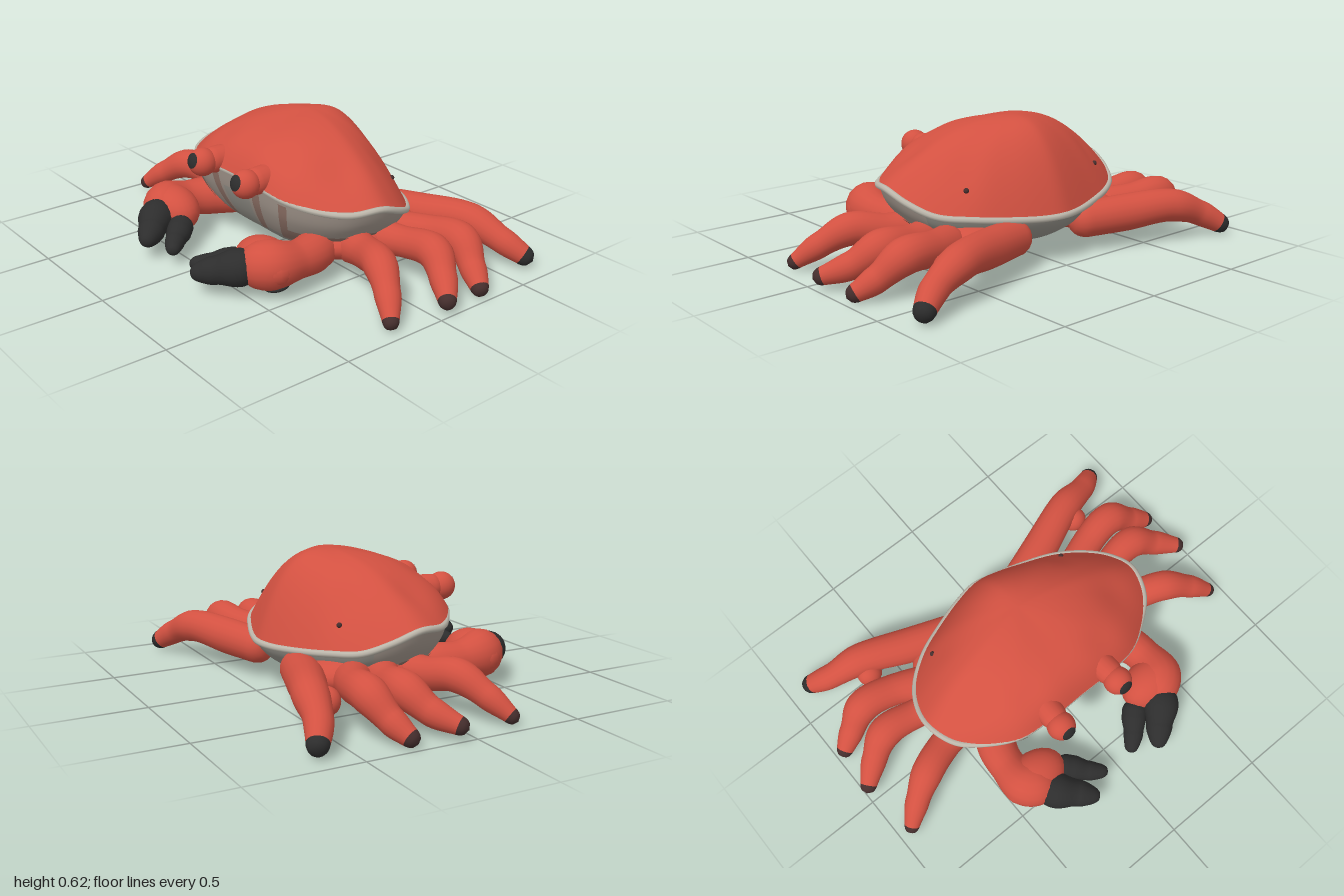
import * as THREE from 'three';
import { mergeVertices } from 'three/addons/utils/BufferGeometryUtils.js';
import { ParametricGeometry } from 'three/addons/geometries/ParametricGeometry.js';

const V = (x, y, z) => new THREE.Vector3(x, y, z);

function material(name, color) {
  const m = new THREE.MeshStandardMaterial({ color });
  m.name = name;
  return m;
}

// Weld the seams and recompute normals so the surface is smooth all round
function smooth(geometry) {
  geometry.deleteAttribute('normal');
  geometry.deleteAttribute('uv');
  const welded = mergeVertices(geometry, 1e-5);
  welded.computeVertexNormals();
  return welded;
}

// Organic limb: a round-ended tube through [x, y, z, radius] knots.
// The last part, from tipStart on, forms a second material group.
function limb(knots, tipStart = 1) {
  const rows = 64, sides = 18;
  const curve = new THREE.CatmullRomCurve3(knots.map((k) => V(k[0], k[1], k[2])));
  const length = curve.getLength();
  const tube = new THREE.TubeGeometry(curve, rows, 1, sides);
  const pos = tube.attributes.position, v = V(0, 0, 0);
  for (let j = 0; j <= rows; j++) {
    const u = j / rows, c = curve.getPointAt(u);
    const s = curve.getUtoTmapping(u) * (knots.length - 1);
    const i = Math.min(Math.floor(s), knots.length - 2);
    let r = THREE.MathUtils.lerp(knots[i][3], knots[i + 1][3], THREE.MathUtils.smoothstep(s - i, 0, 1));
    const d = Math.min(u, 1 - u) * length;
    if (d < r) r *= Math.sqrt(Math.max(0, 1 - (1 - d / r) ** 2));
    for (let k = 0; k <= sides; k++) {
      const n = j * (sides + 1) + k;
      v.fromBufferAttribute(pos, n).sub(c).multiplyScalar(r).add(c);
      pos.setXYZ(n, v.x, v.y, v.z);
    }
  }
  const split = Math.round(rows * tipStart) * sides * 6;
  tube.addGroup(0, split, 0);
  if (tipStart < 1) tube.addGroup(split, rows * sides * 6 - split, 1);
  return smooth(tube);
}

// Edge of the carapace, from the back round the left side to the front, then mirrored
const halfRim = [
  [0, 0.24, -0.48], [0.1, 0.24, -0.462], [0.25, 0.25, -0.412], [0.4, 0.265, -0.345],
  [0.52, 0.28, -0.25], [0.585, 0.325, -0.14], [0.605, 0.368, -0.02], [0.56, 0.36, 0.11],
  [0.46, 0.365, 0.215], [0.33, 0.388, 0.29], [0.17, 0.41, 0.312], [0, 0.415, 0.312],
];
const mirrorLoop = (half) => new THREE.CatmullRomCurve3([
  ...half.map((p) => V(...p)),
  ...half.slice(1, -1).reverse().map(([x, y, z]) => V(-x, y, z)),
], true);
const rim = mirrorLoop(halfRim);
// The pale seam sits under the edge and is tucked in below the brow
const seam = mirrorLoop(halfRim.map(([x, y, z]) => [x, y - 0.008, z > 0.2 ? z - 0.013 : z]));

// Shallow hollows in the carapace: |x|, z, width, depth
const hollows = [[0.22, 0.2, 0.08, 0.012], [0.42, 0.06, 0.09, 0.018], [0.36, -0.25, 0.06, 0.008]];

function shellPoint(u, t, target) {
  const p = rim.getPoint(u);
  const dx = p.x, dz = p.z + 0.13;
  const along = dz * dz / (dx * dx + dz * dz);
  const x = dx * t, z = -0.13 + dz * t;
  // Steep round back, and a long slope ending in a blunt brow at the front
  const dome = t ** (2 + 0.9 * along);
  const brow = 0.5 * t ** 1.4 + 0.5 * t ** 8;
  const drop = THREE.MathUtils.lerp(dome, brow, dz > 0 ? along : 0);
  let y = p.y + (0.63 - p.y) * (1 - drop);
  for (const [hx, hz, w, depth] of hollows) {
    y -= depth * Math.exp(-((Math.abs(x) - hx) ** 2 + (z - hz) ** 2) / (w * w));
  }
  return target.set(x, y, z);
}

// Underside profile: x shrinks toward the middle, y drops toward the ground
const bellyProfile = new THREE.SplineCurve([
  [1, 1], [0.94, 0.7], [0.8, 0.4], [0.6, 0.17], [0.33, 0.04], [0, 0],
].map(([a, b]) => new THREE.Vector2(a, b)));

function bellyPoint(u, v, target) {
  const p = rim.getPoint(u), s = bellyProfile.getPoint(v);
  return target.set(p.x * s.x, 0.06 + (p.y - 0.06) * s.y, -0.05 + (p.z + 0.05) * s.x);
}

export function createModel() {
  const red = material('shell red', 0xd25141);
  const black = material('claw black', 0x2d2d2d);
  const dark = material('leg tip dark', 0x452e2d);
  const cream = material('rim cream', 0xbdb7ab);
  const tan = material('belly tan', 0xa2968c);
  const brown = material('belly brown', 0x8f7267);
  const grey = material('belly grey', 0x95928a);

  const crab = new THREE.Group();
  crab.name = 'crab';
  const add = (name, geometry, mat) => {
    const mesh = new THREE.Mesh(geometry, mat);
    mesh.name = name;
    crab.add(mesh);
    return mesh;
  };
  const surface = (fn, nu, nv) => smooth(new ParametricGeometry(fn, nu, nv));

  // Body
  add('carapace', surface(shellPoint, 110, 30), red);
  add('shellSeam', smooth(new THREE.TubeGeometry(seam, 160, 0.015, 8, true)), cream);
  add('upperBelly', surface((u, v, t) => bellyPoint(0.2 + 0.6 * u, v * 0.45, t), 80, 12), tan);
  add('rearBelly', surface((u, v, t) => bellyPoint(0.8 + 0.4 * u - (u > 0.5 ? 1 : 0), v * 0.45, t), 60, 12), grey);
  add('lowerBelly', surface((u, v, t) => bellyPoint(u, 0.45 + v * 0.55, t), 96, 14), grey);

  // Painted areas on the belly, lifted slightly off its surface
  const patch = (name, u0, u1, v0, v1, mat) => add(name, surface((u, v, t) => {
    bellyPoint(u0 + (u1 - u0) * u, v0 + (v1 - v0) * v, t);
    t.x *= 1.008;
    t.y -= 0.002;
    t.z += 0.004;
  }, 20, 12), mat);
  patch('middlePlate', 0.473, 0.527, 0.16, 0.47, grey);
  for (const [u0, u1, v0, v1] of [[0.452, 0.467, 0.06, 0.47], [0.405, 0.418, 0.06, 0.47], [0.25, 0.405, 0.31, 0.47]]) {
    patch('bellyStripe', u0, u1, v0, v1, brown);
    patch('bellyStripe', 1 - u1, 1 - u0, v0, v1, brown);
  }

  // Legs, front to back: knots of [x, y, z, radius]
  const legs = [
    [[0.4, 0.15, 0.0, 0.09], [0.58, 0.165, 0.035, 0.073], [0.72, 0.185, 0.09, 0.073],
      [0.84, 0.12, 0.155, 0.056], [0.952, 0.03, 0.232, 0.032]],
    [[0.42, 0.15, -0.12, 0.09], [0.6, 0.165, -0.17, 0.07], [0.76, 0.175, -0.185, 0.077],
      [0.87, 0.11, -0.135, 0.06], [0.997, 0.055, -0.04, 0.036]],
    [[0.42, 0.14, -0.24, 0.09], [0.6, 0.17, -0.325, 0.075], [0.76, 0.18, -0.352, 0.078],
      [0.87, 0.1, -0.315, 0.058], [0.98, 0.03, -0.262, 0.036]],
    [[0.14, 0.15, -0.37, 0.08], [0.4, 0.165, -0.455, 0.085], [0.63, 0.178, -0.545, 0.077],
      [0.79, 0.12, -0.59, 0.06], [0.915, 0.04, -0.66, 0.043]],
  ];

  for (const side of [1, -1]) {
    const label = side > 0 ? 'left' : 'right';
    const flip = (knots) => knots.map(([x, y, z, r]) => [x * side, y, z, r]);
    const ball = (name, r, mat, x, y, z, sx = 1, sy = 1, sz = 1) => {
      const mesh = add(name, new THREE.SphereGeometry(r, 24, 16), mat);
      mesh.position.set(x * side, y, z);
      mesh.scale.set(sx, sy, sz);
      return mesh;
    };

    legs.forEach((knots, i) => {
      add(`${label}Leg${i + 1}`, limb(flip(knots), 0.94), [red, i === 3 ? black : dark]);
    });

    // Fleshy flank where the legs join, and a knob under the rear leg
    ball(`${label}Flank`, 0.1, red, 0.35, 0.152, -0.12, 1.9, 1, 3.1);
    ball(`${label}LegKnob`, 0.06, red, 0.64, 0.14, -0.475, 1, 1, 0.9);

    // Claw arm with a swollen palm
    add(`${label}ClawArm`, limb(flip([[0.28, 0.15, 0.02, 0.09], [0.39, 0.145, 0.17, 0.093],
      [0.42, 0.15, 0.29, 0.085], [0.4, 0.158, 0.42, 0.11], [0.28, 0.145, 0.475, 0.1]])), [red]);
    ball(`${label}Palm`, 0.1, red, 0.36, 0.155, 0.415, 1.58, 1.08, 1.12);

    // Two black pincers
    add(`${label}OuterPincer`, limb(flip([[0.37, 0.15, 0.45, 0.08], [0.32, 0.147, 0.53, 0.083],
      [0.25, 0.128, 0.6, 0.062], [0.18, 0.11, 0.675, 0.036]])), [black]);
    add(`${label}InnerPincer`, limb(flip([[0.25, 0.13, 0.43, 0.06], [0.19, 0.115, 0.49, 0.058],
      [0.14, 0.1, 0.545, 0.046], [0.07, 0.09, 0.605, 0.03]])), [black]);
    ball(`${label}PalmSpot`, 0.064, black, 0.4, 0.06, 0.385, 1, 0.36, 1).rotation.x = 0.2;

    // Eye on a short, thick stalk, with the pupil as a cap on its surface
    add(`${label}EyeStalk`, limb(flip([[0.15, 0.43, 0.18, 0.06], [0.16, 0.432, 0.28, 0.062],
      [0.165, 0.434, 0.37, 0.058]])), [red]);
    ball(`${label}Eye`, 0.065, red, 0.165, 0.434, 0.368);
    const pupil = add(`${label}Pupil`, new THREE.SphereGeometry(0.0675, 24, 8, 0, Math.PI * 2, 0, 0.56), black);
    pupil.position.set(0.165 * side, 0.434, 0.368);
    pupil.rotation.x = Math.PI / 2 - 0.32;

    // Small pit near the back edge of the shell
    const pit = shellPoint(3.4 / 22, 0.85, V(0, 0, 0));
    ball(`${label}ShellPit`, 0.012, dark, pit.x, pit.y, pit.z);
  }
  return crab;
}
